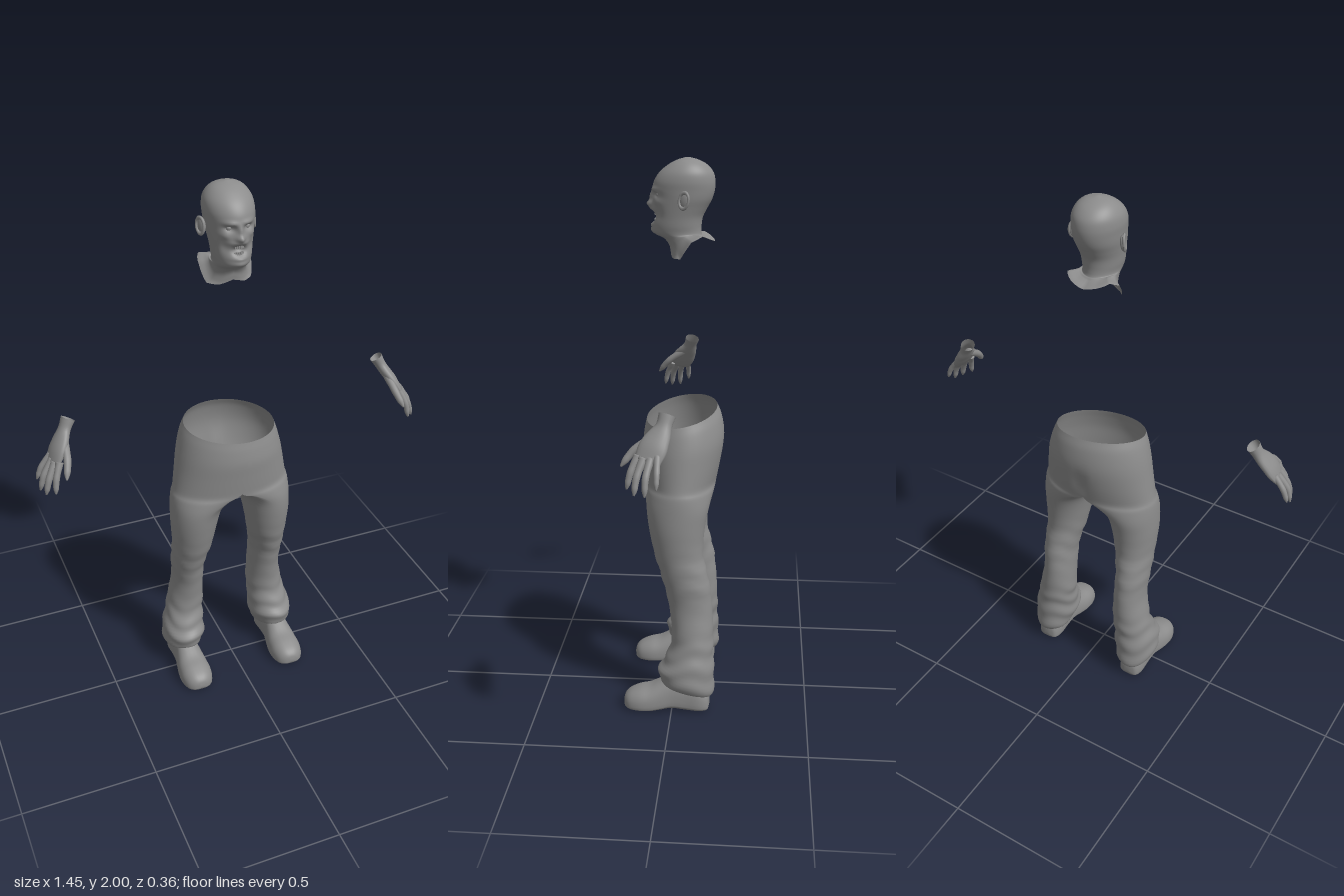
import * as THREE from 'three';
import { mergeVertices, mergeGeometries } from 'three/addons/utils/BufferGeometryUtils.js';

const { clamp, lerp, smoothstep } = THREE.MathUtils;
const V = (x, y, z) => new THREE.Vector3(x, y, z);

// Smoothly resample a short table of rows, with k steps between neighbours
function resample(rows, k) {
  const n = rows[0].length;
  const curve = new THREE.CubicInterpolant(
    Float32Array.from(rows.keys()), Float32Array.from(rows.flat()), n, new Float32Array(n));
  const count = (rows.length - 1) * k;
  return Array.from({ length: count + 1 }, (_, i) => Array.from(curve.evaluate(i / k)));
}

// Skin a list of closed rings; keep(j, i) can leave out quads
function loft(rings, { capStart = false, capEnd = false, keep = () => true } = {}) {
  const n = rings[0].length, points = rings.flat(), index = [];
  for (let j = 0; j < rings.length - 1; j++) {
    for (let i = 0; i < n; i++) {
      if (!keep(j, i)) continue;
      const a = j * n + i, b = j * n + (i + 1) % n;
      index.push(a, b, a + n, b, b + n, a + n);
    }
  }
  const cap = (j, flip) => {
    const mid = V(0, 0, 0);
    rings[j].forEach(p => mid.addScaledVector(p, 1 / n));
    const c = points.push(mid) - 1;
    for (let i = 0; i < n; i++) {
      const a = j * n + i, b = j * n + (i + 1) % n;
      index.push(...(flip ? [b, a, c] : [a, b, c]));
    }
  };
  if (capStart) cap(0, true);
  if (capEnd) cap(rings.length - 1, false);
  const geo = new THREE.BufferGeometry().setFromPoints(points);
  geo.setIndex(index);
  geo.computeVertexNormals();
  return geo;
}

function mirrored(geo) {
  const g = geo.clone().scale(-1, 1, 1);
  const ix = g.index.array;
  for (let i = 0; i < ix.length; i += 3) [ix[i], ix[i + 1]] = [ix[i + 1], ix[i]];
  g.computeVertexNormals();
  return g;
}

// Tapered limb along a path; each radius is [across, thick], wide is the across direction
function limb(path, radii, wide, sides, caps) {
  const curve = new THREE.CatmullRomCurve3(path);
  const size = resample(radii, 4), last = size.length - 1;
  const rings = size.map(([rw, rt], j) => {
    const c = curve.getPoint(j / last), t = curve.getTangent(j / last);
    const u = wide.clone().addScaledVector(t, -wide.dot(t)).normalize();
    const v = t.clone().cross(u);
    return Array.from({ length: sides }, (_, i) => {
      const a = i / sides * Math.PI * 2;
      return c.clone().addScaledVector(u, rw * Math.cos(a)).addScaledVector(v, rt * Math.sin(a));
    });
  });
  return loft(rings, caps);
}

// Head and neck: stacked ovals with the face pushed in and out
function headGeometry() {
  const rows = [ // y, front z, back z, half width
    [1.69, 0.018, -0.135, 0.094], [1.70, 0.02, -0.115, 0.076], [1.715, 0.025, -0.1, 0.066],
    [1.73, 0.042, -0.093, 0.063], [1.739, 0.07, -0.09, 0.061], [1.75, 0.082, -0.088, 0.062],
    [1.77, 0.084, -0.088, 0.066], [1.80, 0.083, -0.093, 0.07], [1.83, 0.083, -0.108, 0.075],
    [1.86, 0.08, -0.124, 0.08], [1.89, 0.082, -0.133, 0.083], [1.92, 0.077, -0.135, 0.085],
    [1.95, 0.058, -0.128, 0.08], [1.975, 0.028, -0.107, 0.064], [1.991, -0.002, -0.078, 0.041],
    [2.0, -0.033, -0.045, 0.006]];
  const features = [ // x, y, spread x, spread y, depth
    [0, 1.843, 0.012, 0.011, 0.02], [0, 1.868, 0.008, 0.016, 0.012],
    [0.03, 1.894, 0.018, 0.007, 0.007], [0.031, 1.876, 0.013, 0.008, -0.013],
    [0.048, 1.853, 0.012, 0.011, 0.007], [0.045, 1.812, 0.012, 0.018, -0.007],
    [0, 1.80, 0.02, 0.013, -0.026], [0, 1.826, 0.022, 0.005, 0.006],
    [0, 1.774, 0.02, 0.006, 0.006], [0, 1.755, 0.018, 0.01, 0.005]];
  const rim = [-0.015, -0.03, -0.028, 0.03, 0.05, 0.035, 0.025]; // ragged neck edge, front to back
  const n = 72;
  const rings = resample(rows, 6).map(([y0, zf, zb, w], j) => {
    const cut = 1 - smoothstep(j, 0, 26);
    return Array.from({ length: n }, (_, i) => {
      const a = i / n * Math.PI * 2, x = w * Math.sin(a);
      let z = (zf + zb) / 2 + (zf - zb) / 2 * Math.cos(a);
      const r = Math.min(i, n - i) / (n / 2) * 6, k = Math.min(5, Math.floor(r));
      const y = y0 + cut * lerp(rim[k], rim[k + 1], r - k);
      if (Math.cos(a) > 0 && j > 22) for (const [fx, fy, sx, sy, d] of features)
        z += d * Math.exp(-(((Math.abs(x) - fx) / sx) ** 2 + ((y - fy) / sy) ** 2) / 1.4);
      return V(x, y, z);
    });
  });
  return loft(rings, { capEnd: true });
}

// Trousers: each leg loft opens into half of the hips above the crotch
function trousersGeometry() {
  const rows = [ // y, inner x, outer x, front z, back z, hip blend
    [0.1, 0.145, 0.245, 0.02, -0.13, 0], [0.09, 0.125, 0.264, 0.042, -0.15, 0],
    [0.14, 0.108, 0.274, 0.05, -0.157, 0], [0.2, 0.106, 0.264, 0.026, -0.153, 0],
    [0.25, 0.104, 0.25, 0.008, -0.152, 0], [0.3, 0.1, 0.241, 0.002, -0.151, 0],
    [0.4, 0.102, 0.223, 0.013, -0.146, 0], [0.5, 0.1, 0.227, 0.035, -0.134, 0],
    [0.6, 0.079, 0.229, 0.066, -0.111, 0], [0.7, 0.06, 0.235, 0.087, -0.115, 0],
    [0.78, 0.042, 0.234, 0.098, -0.13, 0.08], [0.83, 0.02, 0.23, 0.106, -0.145, 0.5],
    [0.86, 0, 0.222, 0.11, -0.153, 1], [0.93, 0, 0.211, 0.116, -0.168, 1],
    [1.0, 0, 0.2, 0.12, -0.177, 1], [1.06, 0, 0.186, 0.115, -0.167, 1],
    [1.1, 0, 0.172, 0.107, -0.15, 1]];
  const n = 48, k = 5, crotch = 12 * k;
  const rings = resample(rows, k).map(([y0, xi, xo, zf, zb, d], j) => {
    const hip = j >= crotch ? 1 : clamp(d, 0, 1), inner = j >= crotch ? 0 : Math.max(0, xi);
    const cx = (inner + xo) / 2, cz = (zf + zb) / 2;
    // cloth folds, strongest round the ankle and knee
    const fold = 0.035 * (1 - smoothstep(y0, 0.2, 0.4)) + 0.03 * Math.exp(-(((y0 - 0.52) / 0.09) ** 2));
    return Array.from({ length: n }, (_, i) => {
      const a = i / n * Math.PI * 2, s = Math.abs(Math.sin(a)) < 1e-9 ? 0 : Math.sin(a);
      const f = 1 + fold * (1 - hip) * Math.sin(y0 * 85 + 2.2 * Math.cos(a + 0.6) + Math.sin(3 * a));
      const x = lerp(cx + (xo - inner) / 2 * s * f, xo * Math.max(0, s), hip);
      let z = cz + (zf - zb) / 2 * Math.cos(a) * f;
      // shallow seat cleft
      if (z < 0) z += 0.012 * Math.exp(-((x / 0.022) ** 2)) * Math.exp(-(((y0 - 0.92) / 0.06) ** 2));
      const y = y0 + 0.28 * (z + 0.05) * (1 - smoothstep(y0, 0.08, 0.24));
      return V(x, y, z);
    });
  });
  const leg = loft(rings, { keep: (j, i) => j < crotch || i < n / 2 });
  const both = mergeGeometries([leg, mirrored(leg)]);
  both.deleteAttribute('normal');
  const p = both.attributes.position;
  for (let i = 0; i < p.count; i++) { // sloping waistline
    const t = smoothstep(p.getY(i), 0.92, 1.1);
    p.setY(i, p.getY(i) - t * (0.1 * p.getX(i) + 0.17 * (p.getZ(i) + 0.02)));
  }
  const geo = mergeVertices(both, 1e-5);
  geo.computeVertexNormals();
  return geo;
}

// Shoe: sections from heel to toe with a flat sole and domed upper
function shoeGeometry() {
  const rows = [ // z, half width, top, bottom
    [-0.14, 0.012, 0.05, 0.02], [-0.132, 0.036, 0.08, 0.004], [-0.1, 0.048, 0.12, 0],
    [-0.05, 0.047, 0.138, 0.003], [0, 0.049, 0.135, 0.009], [0.04, 0.056, 0.114, 0.004],
    [0.08, 0.062, 0.093, 0], [0.12, 0.062, 0.082, 0], [0.155, 0.051, 0.067, 0.002],
    [0.174, 0.031, 0.05, 0.008], [0.18, 0.008, 0.032, 0.02]];
  const rings = resample(rows, 4).map(([z, w, top, bottom]) => Array.from({ length: 32 }, (_, i) => {
    const a = i / 32 * Math.PI * 2, c = Math.cos(a), s = Math.sin(a);
    const mid = lerp(bottom, top, 0.28);
    const y = s > 0 ? mid + (top - mid) * s ** 0.9 : mid - (mid - bottom) * (-s) ** 0.5;
    return V(0.196 + w * Math.sign(c) * Math.abs(c) ** 0.8, Math.max(0, y), z);
  }));
  return loft(rings, { capStart: true, capEnd: true });
}

// Hand: palm with an open wrist, four fingers and a thumb
function handParts() {
  const across = V(-0.2, 0.05, 1);
  const palm = limb(
    [V(0.592, 1.248, -0.019), V(0.614, 1.208, -0.006), V(0.642, 1.165, 0.017), V(0.67, 1.118, 0.037)],
    [[0.028, 0.024], [0.026, 0.02], [0.04, 0.02], [0.048, 0.019], [0.042, 0.011]],
    across, 20, { capEnd: true });
  const digits = { // root, knuckle, tip, radius
    indexFinger: [V(0.652, 1.135, 0.066), V(0.673, 1.085, 0.088), V(0.682, 1.033, 0.1), 0.0115],
    middleFinger: [V(0.664, 1.13, 0.048), V(0.694, 1.076, 0.067), V(0.71, 1.022, 0.074), 0.012],
    ringFinger: [V(0.668, 1.13, 0.026), V(0.705, 1.078, 0.038), V(0.722, 1.022, 0.04), 0.0115],
    littleFinger: [V(0.668, 1.138, 0.005), V(0.705, 1.092, 0.004), V(0.724, 1.046, 0.004), 0.01],
    thumb: [V(0.62, 1.19, 0.015), V(0.628, 1.145, 0.08), V(0.645, 1.095, 0.122), 0.0135]
  };
  const parts = { palm };
  for (const [name, [root, knuckle, tip, r]] of Object.entries(digits))
    parts[name] = limb([root, knuckle, tip],
      [1.15, 1.1, 1, 1, 0.9, 0.8, 0.25].map(f => [r * f, r * f]), across, 12, { capStart: true, capEnd: true });
  return parts;
}

export function createModel() {
  const grey = new THREE.MeshStandardMaterial({ color: 0x8c8c8c, side: THREE.DoubleSide });
  grey.name = 'plain grey';
  const model = new THREE.Group();
  model.name = 'figureParts';
  const add = (name, geo, parent = model) => {
    const mesh = new THREE.Mesh(geo, grey);
    mesh.name = name;
    parent.add(mesh);
    return mesh;
  };
  const pair = (name, geo) => {
    add('left' + name, geo);
    add('right' + name, mirrored(geo));
  };

  add('head', headGeometry());
  pair('Eye', new THREE.SphereGeometry(0.011, 16, 12).translate(0.031, 1.876, 0.056));

  // Ears: flattened shell with a raised rim
  const ear = (g) => g.rotateY(1.15).rotateX(-0.15).translate(0.09, 1.86, -0.035);
  pair('EarShell', ear(new THREE.SphereGeometry(1, 16, 12).scale(0.019, 0.028, 0.008)));
  pair('EarRim', ear(new THREE.TorusGeometry(0.02, 0.005, 8, 20).scale(0.9, 1.35, 1).translate(0, 0, 0.006)));

  // Bared teeth in the open mouth
  const teeth = new THREE.Group();
  teeth.name = 'teeth';
  model.add(teeth);
  for (const [row, y] of [['upper', 1.811], ['lower', 1.788]])
    for (let i = -3; i <= 3; i++)
      add(row + 'Tooth', new THREE.BoxGeometry(0.0055, 0.011, 0.006)
        .translate(i * 0.0066, y, 0.073 - 0.0009 * i * i), teeth);

  add('trousers', trousersGeometry());
  pair('Shoe', shoeGeometry());

  for (const side of ['left', 'right']) {
    const hand = new THREE.Group();
    hand.name = side + 'Hand';
    model.add(hand);
    for (const [name, geo] of Object.entries(handParts()))
      add(name, side === 'left' ? geo : mirrored(geo), hand);
  }
  return model;
}
